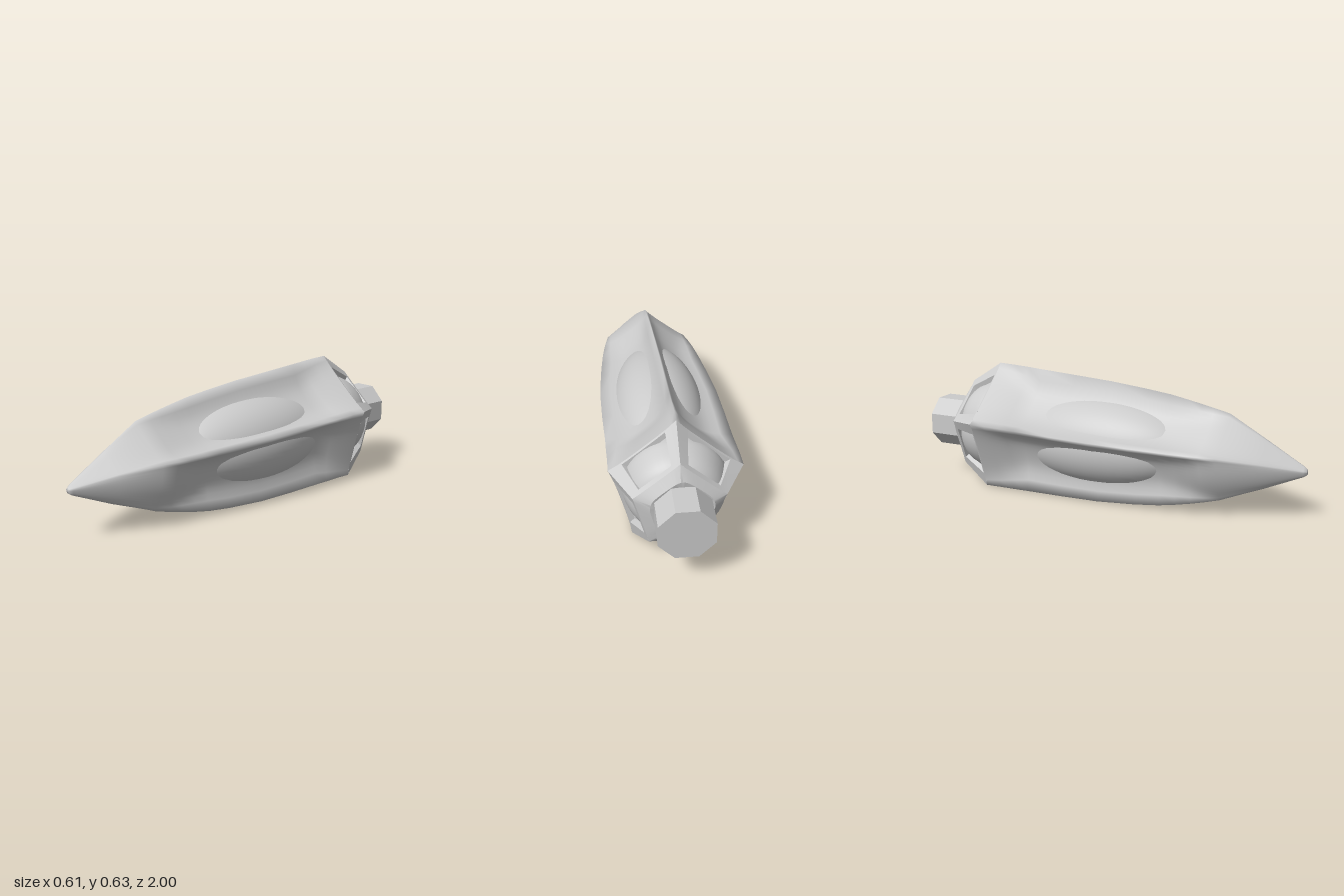
import * as THREE from 'three';
import { toCreasedNormals } from 'three/addons/utils/BufferGeometryUtils.js';

const material = new THREE.MeshStandardMaterial({ color: 0xcccccc });
const thin = new THREE.MeshStandardMaterial({ color: 0xcccccc, side: THREE.DoubleSide });

// The five ridge directions, clockwise from the top
const RIDGES = [[-0.01, 1.03], [0.91, 0.26], [0.6, -0.865], [-0.53, -0.86], [-0.94, 0.23]];
const SEGMENTS = 14;

// Point on the side after ridge i: u runs to the next ridge. The middle is hollowed
// by depth, and the three lower sides are filled out again by swell.
function sidePoint(i, u, [z, cx, cy, r, depth, width = 1, swell = 0]) {
  const ridge = ([x, y]) => new THREE.Vector3(cx + x * r * width, cy + y * r, z);
  const p = ridge(RIDGES[i % 5]).lerp(ridge(RIDGES[(i + 1) % 5]), u);
  const inward = new THREE.Vector3(cx, cy, z).sub(p).normalize();
  const t = Math.abs(2 * u - 1);
  const lower = i > 0 && i < 4 ? swell : 0;
  return p.addScaledVector(inward, depth * (1 - t ** 5) - lower * (1 - t * t));
}

// Closed five-sided section
function section(station) {
  const ring = [];
  for (let i = 0; i < 5; i++) {
    for (let k = 0; k < SEGMENTS; k++) ring.push(sidePoint(i, k / SEGMENTS, station));
  }
  return ring;
}

// Skin between closed loops of equal length
function loft(rings) {
  const n = rings[0].length;
  const index = [];
  for (let i = 0; i < rings.length - 1; i++) {
    for (let j = 0; j < n; j++) {
      const a = i * n + j, b = i * n + (j + 1) % n;
      index.push(a, a + n, b, b, a + n, b + n);
    }
  }
  const geometry = new THREE.BufferGeometry().setFromPoints(rings.flat());
  geometry.setIndex(index);
  geometry.computeVertexNormals();
  return geometry;
}

function add(parent, name, geometry, mat = material) {
  const mesh = new THREE.Mesh(geometry, mat);
  mesh.name = name;
  parent.add(mesh);
  return mesh;
}

export function createModel() {
  const model = new THREE.Group();
  model.name = 'ribbedPod';

  // Shell: z, centre x, centre y, radius, hollow depth, width factor, lower swell
  const rim = [-0.64, 0, 0.29, 0.33, 0.009];
  const stations = [
    rim,
    [-0.56, 0, 0.289, 0.328, 0.024],
    [-0.48, 0.003, 0.286, 0.326, 0.048],
    [-0.4, 0.005, 0.283, 0.323, 0.07],
    [-0.2, 0.01, 0.276, 0.316, 0.064, 1.02],
    [0, 0.014, 0.27, 0.308, 0.06, 1.03],
    [0.2, 0.018, 0.266, 0.291, 0.06, 1.03],
    [0.32, 0.02, 0.265, 0.277, 0.06, 1.03],
    [0.4, 0.021, 0.265, 0.262, 0.05, 1.05, 0.006],
    [0.48, 0.022, 0.266, 0.245, 0.035, 1.07, 0.014],
    [0.54, 0.023, 0.267, 0.231, 0.023, 1.08, 0.02],
    [0.62, 0.025, 0.269, 0.211, 0.006, 1.08, 0.02],
    [0.8, 0.033, 0.256, 0.12, -0.006, 1.04, 0.008],
    [0.985, 0.04, 0.241, 0.025, -0.003],
    [1, 0.04, 0.24, 0.014, -0.001],
    [1, 0.04, 0.24, 0.0001, 0],
  ];
  add(model, 'shell', loft(stations.map(section)), thin);

  // Inner capsule bulging through the hollows
  const capsule = add(model, 'innerCapsule', new THREE.SphereGeometry(1, 48, 32));
  capsule.scale.set(0.228, 0.228, 0.53);
  capsule.position.set(0.016, 0.267, -0.055);

  // Rear dome behind the cage openings
  const profile = [[0.236, 0.6], [0.241, 0.64], [0.236, 0.68], [0.21, 0.75], [0.17, 0.793], [0.1, 0.82], [0, 0.83]];
  const curve = new THREE.SplineCurve(profile.map(([r, h]) => new THREE.Vector2(r, h)));
  const dome = add(model, 'rearDome', new THREE.LatheGeometry(curve.getPoints(24), 40), thin);
  dome.rotation.x = -Math.PI / 2;
  dome.position.y = 0.29;

  // Rear cage: five sloping frames, each with a recessed opening
  const cage = new THREE.Group();
  cage.name = 'rearCage';
  model.add(cage);
  const cageEnd = [-0.81, 0, 0.29, 0.224, 0.002];
  const axis = new THREE.Vector3(0, 0.29, -0.66);
  for (let i = 0; i < 5; i++) {
    const at = (u, v) => sidePoint(i, u, rim).lerp(sidePoint(i, u, cageEnd), v);
    // Loop around the frame, inset by du at the sides and v0, v1 at the ends
    const loop = (du, v0, v1) => {
      const points = [];
      for (let k = 0; k <= 8; k++) points.push(at(du + (1 - 2 * du) * k / 8, v0));
      for (let k = 8; k >= 0; k--) points.push(at(du + (1 - 2 * du) * k / 8, v1));
      return points;
    };
    const hole = loop(0.17, 0.05, 0.88);
    const inset = hole.map((p) => p.clone().lerp(axis, 0.1));
    add(cage, 'cageFrame', toCreasedNormals(loft([inset, hole, loop(0, 0, 1)]), 0.5), thin);
  }

  // Collar closing the cage around the stem
  const collar = loft([
    section([-0.835, -0.012, 0.293, 0.1, -0.015]),
    section([-0.843, -0.01, 0.293, 0.15, -0.015]),
    section(cageEnd),
  ]);
  add(model, 'collar', toCreasedNormals(collar, 0.6), thin);

  // Eight-sided stem
  const stemGeometry = new THREE.CylinderGeometry(0.136, 0.136, 0.2, 8).toNonIndexed();
  stemGeometry.computeVertexNormals();
  stemGeometry.rotateY(Math.PI / 8).rotateX(Math.PI / 2);
  add(model, 'stem', stemGeometry).position.set(-0.013, 0.293, -0.9);

  return model;
}
